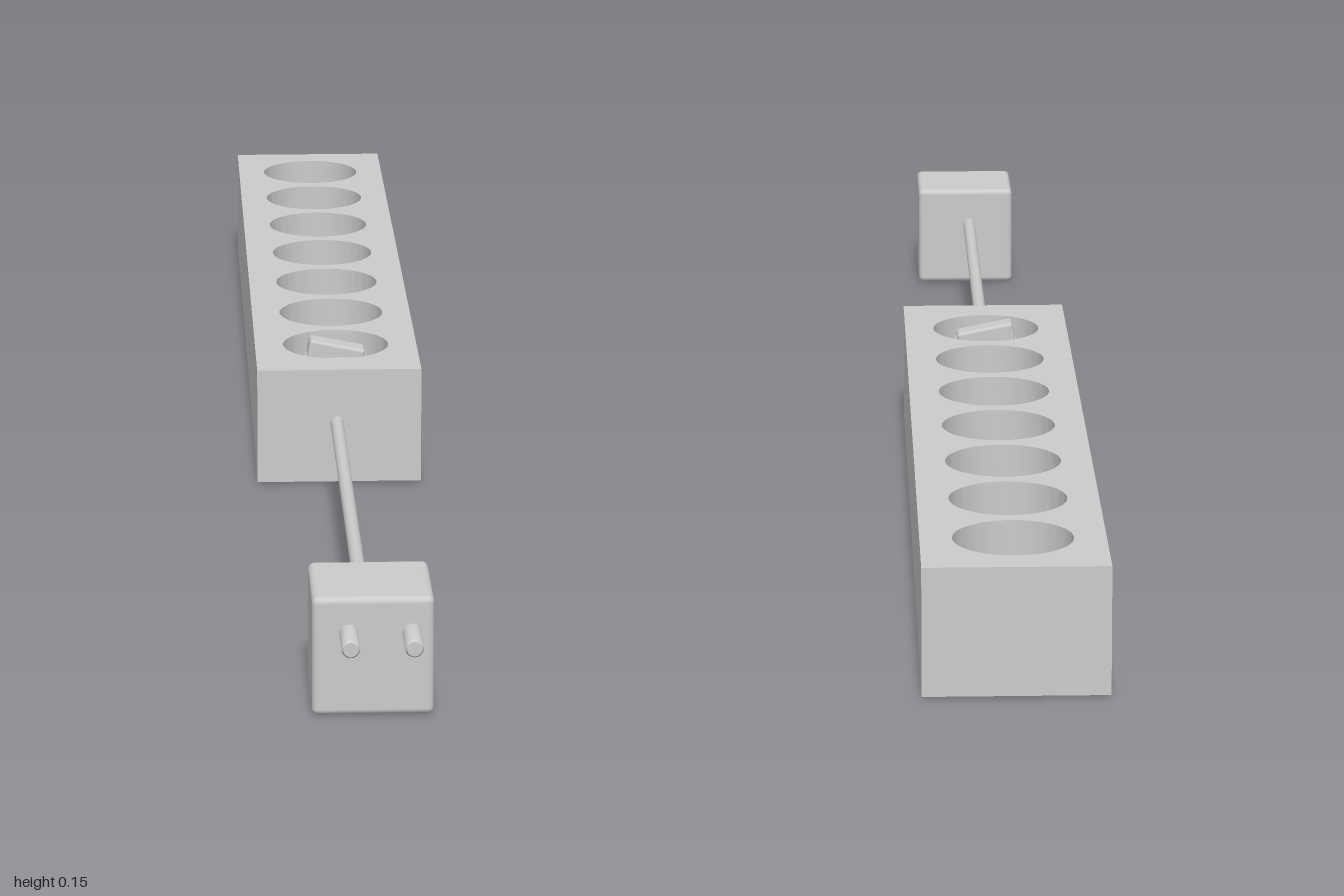
import * as THREE from 'three';
import { toCreasedNormals } from 'three/addons/utils/BufferGeometryUtils.js';
import { RoundedBoxGeometry } from 'three/addons/geometries/RoundedBoxGeometry.js';

const BODY = { halfWidth: 0.1, back: -1, front: 0.115, bottom: 0.003, top: 0.145 };
const SOCKET = { count: 7, pitch: 0.149, radius: 0.065, depth: 0.045 };

export function createModel() {
  const group = new THREE.Group();
  const material = new THREE.MeshStandardMaterial({ color: 0xcccccc });
  const add = (name, geometry, x = 0, y = 0, z = 0) => {
    const mesh = new THREE.Mesh(geometry, material);
    mesh.name = name;
    mesh.position.set(x, y, z);
    group.add(mesh);
    return mesh;
  };

  // Socket plate: upper slab pierced by a row of round wells
  const { halfWidth: w, back, front, bottom, top } = BODY;
  const floor = top - SOCKET.depth;
  const outline = new THREE.Shape([
    new THREE.Vector2(-w, -front), new THREE.Vector2(w, -front),
    new THREE.Vector2(w, -back), new THREE.Vector2(-w, -back),
  ]);
  for (let i = 0; i < SOCKET.count; i++) {
    const hole = new THREE.Path();
    hole.absarc(0, i * SOCKET.pitch, SOCKET.radius, 0, Math.PI * 2, true);
    outline.holes.push(hole);
  }
  const plate = new THREE.ExtrudeGeometry(outline, {
    depth: SOCKET.depth, bevelEnabled: false, curveSegments: 32,
  });
  plate.rotateX(-Math.PI / 2);
  add('socketPlate', toCreasedNormals(plate, 0.6), 0, floor, 0);

  // Solid lower housing forms the floor of the wells
  add('housing', new THREE.BoxGeometry(2 * w, floor - bottom, front - back),
    0, (floor + bottom) / 2, (front + back) / 2);

  // Rocker switch sitting in the front well
  add('switchBase', new RoundedBoxGeometry(0.078, 0.034, 0.038, 2, 0.004), 0, floor + 0.015, 0.001);
  const rocker = add('switchRocker', new RoundedBoxGeometry(0.07, 0.024, 0.03, 2, 0.004), 0, 0.136, 0.001);
  rocker.rotation.z = -0.2;

  // Power cord, rising slightly towards the plug
  const cordPath = new THREE.LineCurve3(
    new THREE.Vector3(-0.003, 0.078, 0.1), new THREE.Vector3(-0.003, 0.084, 0.84));
  add('cord', new THREE.TubeGeometry(cordPath, 8, 0.008, 20, false));

  // Plug block with softened edges
  add('plug', new RoundedBoxGeometry(0.13, 0.132, 0.127, 3, 0.007), 0.002, 0.067, 0.882);

  // Two contact pins with chamfered tips
  const pinProfile = [[0, 0], [0.01, 0], [0.01, 0.063], [0.008, 0.066], [0, 0.066]]
    .map(([r, h]) => new THREE.Vector2(r, h));
  const pin = toCreasedNormals(new THREE.LatheGeometry(pinProfile, 20).rotateX(Math.PI / 2), 0.6);
  for (const [name, x] of [['rightPin', -0.024], ['leftPin', 0.043]]) add(name, pin, x, 0.094, 0.934);

  return group;
}
